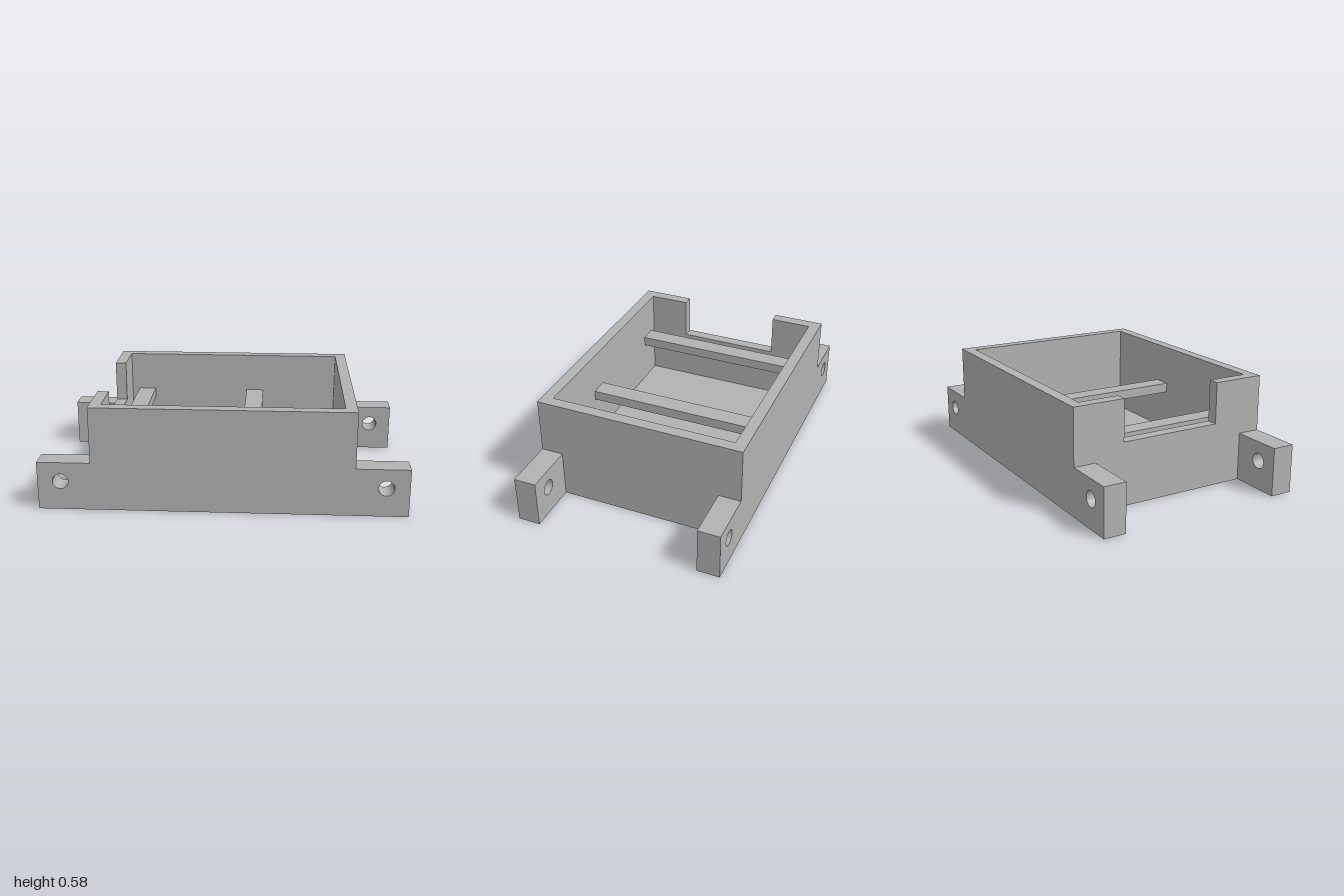
import * as THREE from 'three';

const W = 0.708, D = 0.583, H = 0.583;   // half width, half depth, height
const T = 0.063, FLOOR = 0.06;           // wall and floor thickness
const EAR_H = 0.27, EAR_D = 0.125;       // mounting ears

export function createModel() {
  const group = new THREE.Group();
  const grey = new THREE.MeshStandardMaterial({ color: 0xb2b2b2 });
  grey.name = 'grey';

  const add = (name, geometry, x = 0, y = 0, z = 0) => {
    const mesh = new THREE.Mesh(geometry, grey);
    mesh.name = name;
    mesh.position.set(x, y, z);
    group.add(mesh);
    return mesh;
  };
  // Box given by its minimum and maximum corners
  const box = (name, x0, x1, y0, y1, z0, z1) =>
    add(name, new THREE.BoxGeometry(x1 - x0, y1 - y0, z1 - z0),
      (x0 + x1) / 2, (y0 + y1) / 2, (z0 + z1) / 2);

  // Tray: floor, front and back walls, plain left wall
  box('floor', -W, W, 0, FLOOR, -D, D);
  box('frontWall', -W, W, FLOOR, H, D - T, D);
  box('backWall', -W, W, FLOOR, H, -D, -D + T);
  box('leftWall', W - T, W, FLOOR, H, -D + T, D - T);

  // Right wall with a wide notch in its top edge
  const d = D - T, n = 0.29, notchY = 0.352;
  const profile = new THREE.Shape([
    [-d, FLOOR], [d, FLOOR], [d, H], [n, H],
    [n, notchY], [-n, notchY], [-n, H], [-d, H],
  ].map(([u, v]) => new THREE.Vector2(u, v)));
  const notched = new THREE.ExtrudeGeometry(profile, { depth: T, bevelEnabled: false });
  notched.rotateY(Math.PI / 2);
  add('notchedRightWall', notched, -W);

  // Two cross bars spanning from front wall to back wall
  for (const [x0, x1] of [[-0.6, -0.497], [0.09, 0.195]]) {
    box('crossBar', x0, x1, 0.3, 0.356, -d, d);
  }

  // Four mounting ears with screw holes
  for (const sx of [-1, 1]) {
    const x0 = sx > 0 ? W : -1, x1 = sx > 0 ? 1 : -W;
    const ear = new THREE.Shape([
      new THREE.Vector2(x0, 0), new THREE.Vector2(x1, 0),
      new THREE.Vector2(x1, EAR_H), new THREE.Vector2(x0, EAR_H),
    ]);
    const hole = new THREE.Path();
    hole.absarc(sx * 0.875, 0.162, 0.043, 0, Math.PI * 2, true);
    ear.holes.push(hole);
    const geometry = new THREE.ExtrudeGeometry(ear, {
      depth: EAR_D, bevelEnabled: false, curveSegments: 32,
    });
    add('frontEar', geometry, 0, 0, D - EAR_D);
    add('backEar', geometry, 0, 0, -D);
  }
  return group;
}
